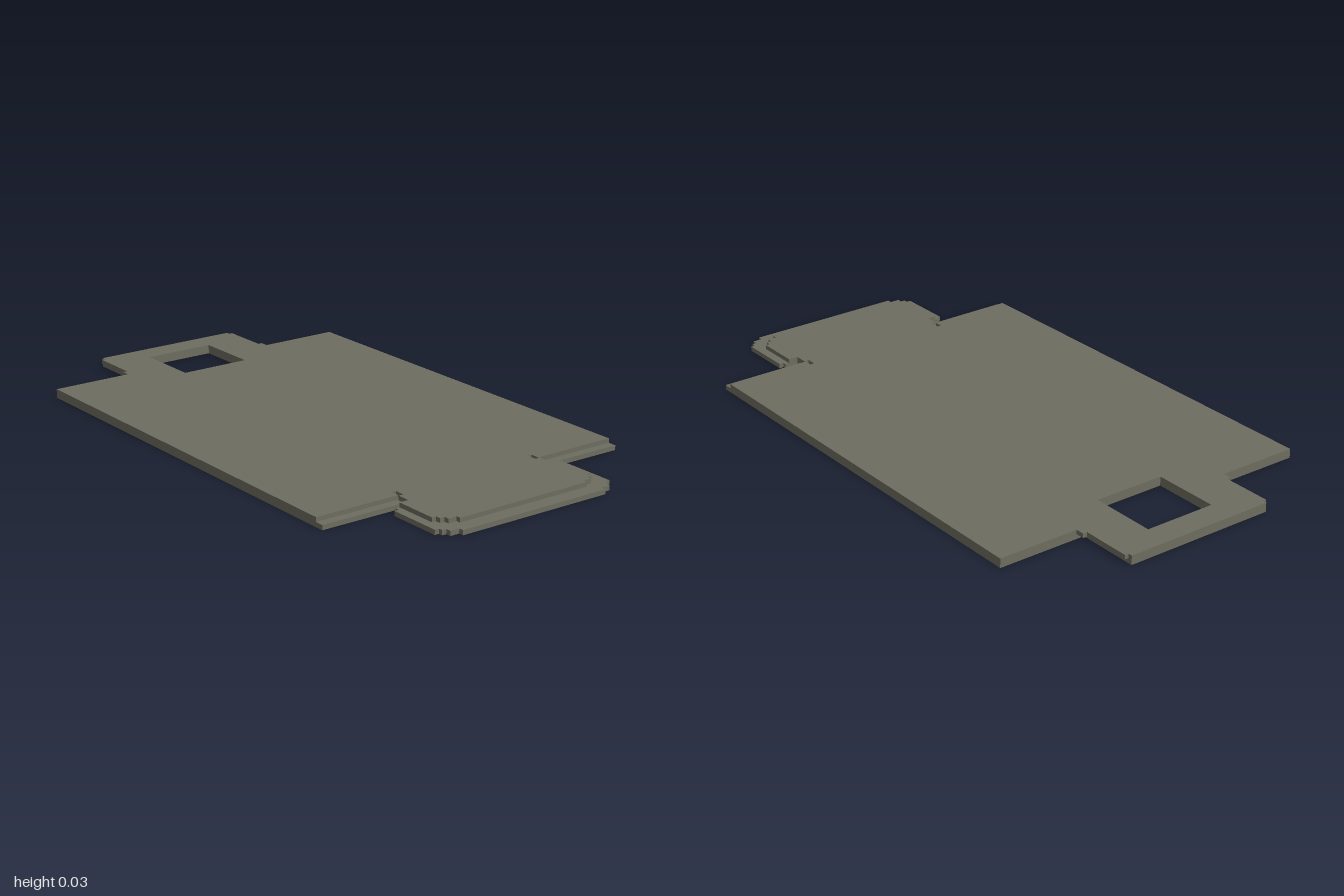
import * as THREE from 'three';

// Flat plate from the +x half of an outline in (x, z), mirrored, with a square hole
function plate(name, half, bottom, top, material) {
  const pts = half.map(([x, z]) => new THREE.Vector2(x, z));
  const mirrored = half.map(([x, z]) => new THREE.Vector2(-x, z)).reverse();
  const shape = new THREE.Shape([...pts, ...mirrored]);
  const [w, z0, z1] = [0.125, -0.91, -0.68];
  shape.holes.push(new THREE.Path([[-w, z0], [-w, z1], [w, z1], [w, z0]].map(([x, z]) => new THREE.Vector2(x, z))));
  const geometry = new THREE.ExtrudeGeometry(shape, { depth: top - bottom, bevelEnabled: false });
  geometry.rotateX(Math.PI / 2).translate(0, top, 0);
  const mesh = new THREE.Mesh(geometry, material);
  mesh.name = name;
  return mesh;
}

export function createModel() {
  const group = new THREE.Group();
  group.name = 'panel';
  const grey = new THREE.MeshStandardMaterial({ color: 0x6d6d60 });
  grey.name = 'warm grey';

  // Lower layer: slim back neck, full body and wide stepped front tab
  const lower = [
    [0.265, -1], [0.265, -0.785], [0.575, -0.785], [0.575, 0.73],
    [0.277, 0.73], [0.277, 0.75], [0.325, 0.75], [0.325, 0.765],
    [0.34, 0.765], [0.34, 0.95], [0.325, 0.95], [0.325, 0.965],
    [0.31, 0.965], [0.31, 0.983], [0.277, 0.983], [0.277, 1],
  ];

  // Upper layer: wider back neck, small slots beside the front neck, smaller tab
  const upper = [
    [0.265, -1], [0.265, -0.985], [0.278, -0.985], [0.278, -0.815],
    [0.293, -0.815], [0.293, -0.785], [0.575, -0.785], [0.575, 0.7],
    [0.275, 0.7], [0.275, 0.67], [0.26, 0.67], [0.26, 0.705],
    [0.277, 0.705], [0.277, 0.75], [0.31, 0.75], [0.31, 0.9],
    [0.295, 0.9], [0.295, 0.918], [0.278, 0.918], [0.278, 0.935],
    [0.247, 0.935], [0.247, 0.95],
  ];

  group.add(
    plate('lowerPlate', lower, 0, 0.016, grey),
    plate('upperPlate', upper, 0.016, 0.031, grey),
  );
  return group;
}
